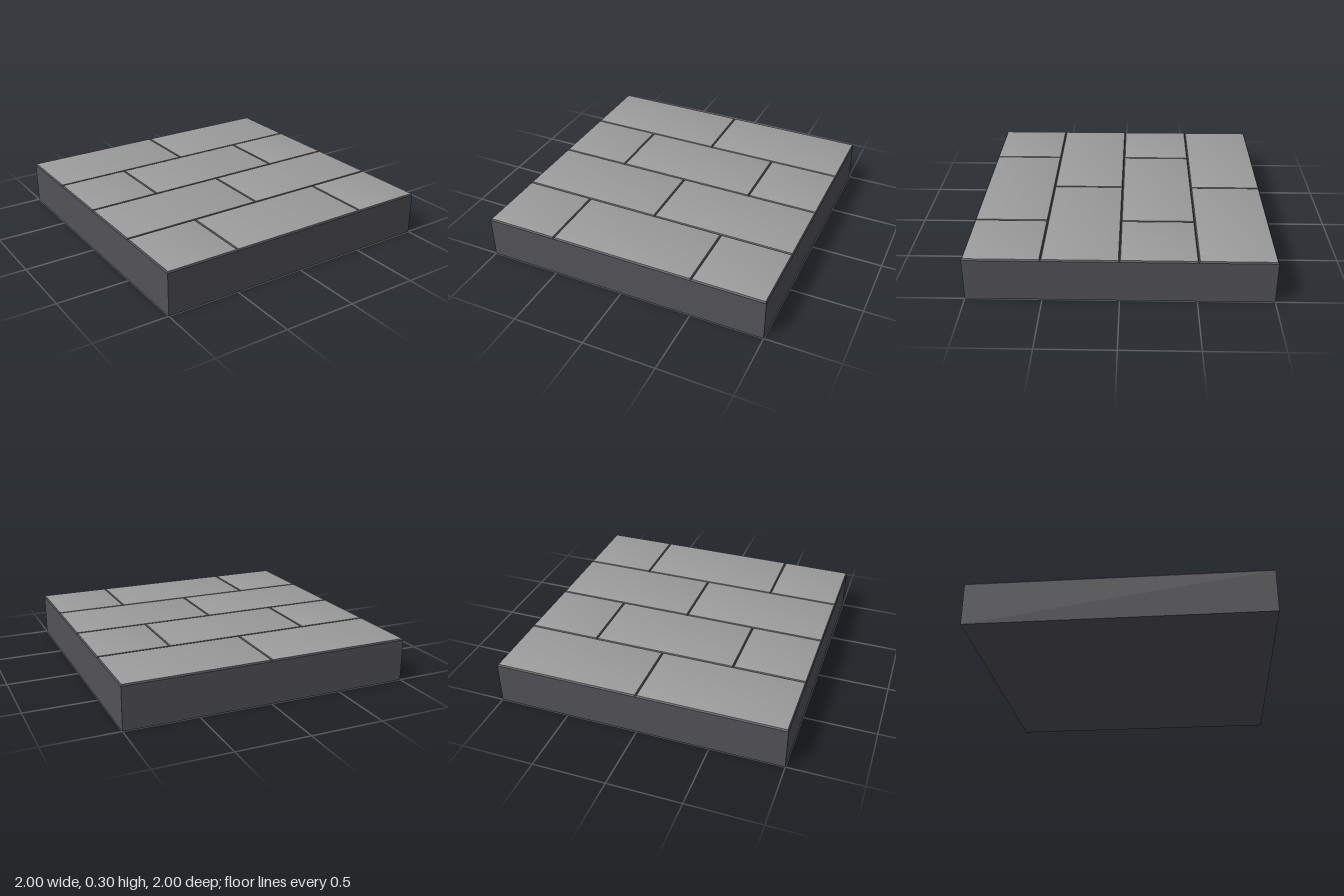
import * as THREE from 'three';

const HEIGHT = 0.3;    // total height
const BEVEL = 0.01;    // height of the raised stones
const INSET = 0.007;   // how far each stone's top edge steps in
const SOFT = 0.13;     // outward lean of the top normals, for a worn look

export function createModel() {
  const mortar = new THREE.MeshStandardMaterial({ color: 0x535257 });
  mortar.name = 'darkMortar';
  const stone = new THREE.MeshStandardMaterial({ color: 0x9c9c9c });
  stone.name = 'greyStone';

  const group = new THREE.Group();
  group.name = 'pavingTile';

  // Solid slab under the stones
  const slab = new THREE.Mesh(new THREE.BoxGeometry(2, HEIGHT - BEVEL, 2), mortar);
  slab.name = 'slab';
  slab.position.y = (HEIGHT - BEVEL) / 2;
  group.add(slab);

  // One paving stone: a shallow bevelled block with dark sides and a softly shaded top
  function addStone(x0, x1, z0, z1) {
    const w = x1 - x0, d = z1 - z0;
    const geo = new THREE.BoxGeometry(w, BEVEL, d);
    const p = geo.attributes.position;
    for (let i = 0; i < p.count; i++) {
      if (p.getY(i) < 0) continue;
      p.setX(i, p.getX(i) - Math.sign(p.getX(i)) * INSET);
      p.setZ(i, p.getZ(i) - Math.sign(p.getZ(i)) * INSET);
    }
    geo.computeVertexNormals();
    const n = geo.attributes.normal;
    const v = new THREE.Vector3();
    for (let i = 8; i < 12; i++) { // corners of the top face
      v.set(Math.sign(p.getX(i)) * SOFT, 1, Math.sign(p.getZ(i)) * SOFT).normalize();
      n.setXYZ(i, v.x, v.y, v.z);
    }
    const mesh = new THREE.Mesh(geo, [mortar, mortar, stone, mortar, mortar, mortar]);
    mesh.name = 'pavingStone';
    mesh.position.set((x0 + x1) / 2, HEIGHT - BEVEL / 2, (z0 + z1) / 2);
    group.add(mesh);
  }

  // Four courses in running bond, alternate rows shifted by half a stone
  for (let row = 0; row < 4; row++) {
    const joints = row % 2 ? [-1, -0.5, 0.5, 1] : [-1, 0, 1];
    const z = -1 + row * 0.5;
    for (let i = 0; i < joints.length - 1; i++) {
      addStone(joints[i], joints[i + 1], z, z + 0.5);
    }
  }
  return group;
}
